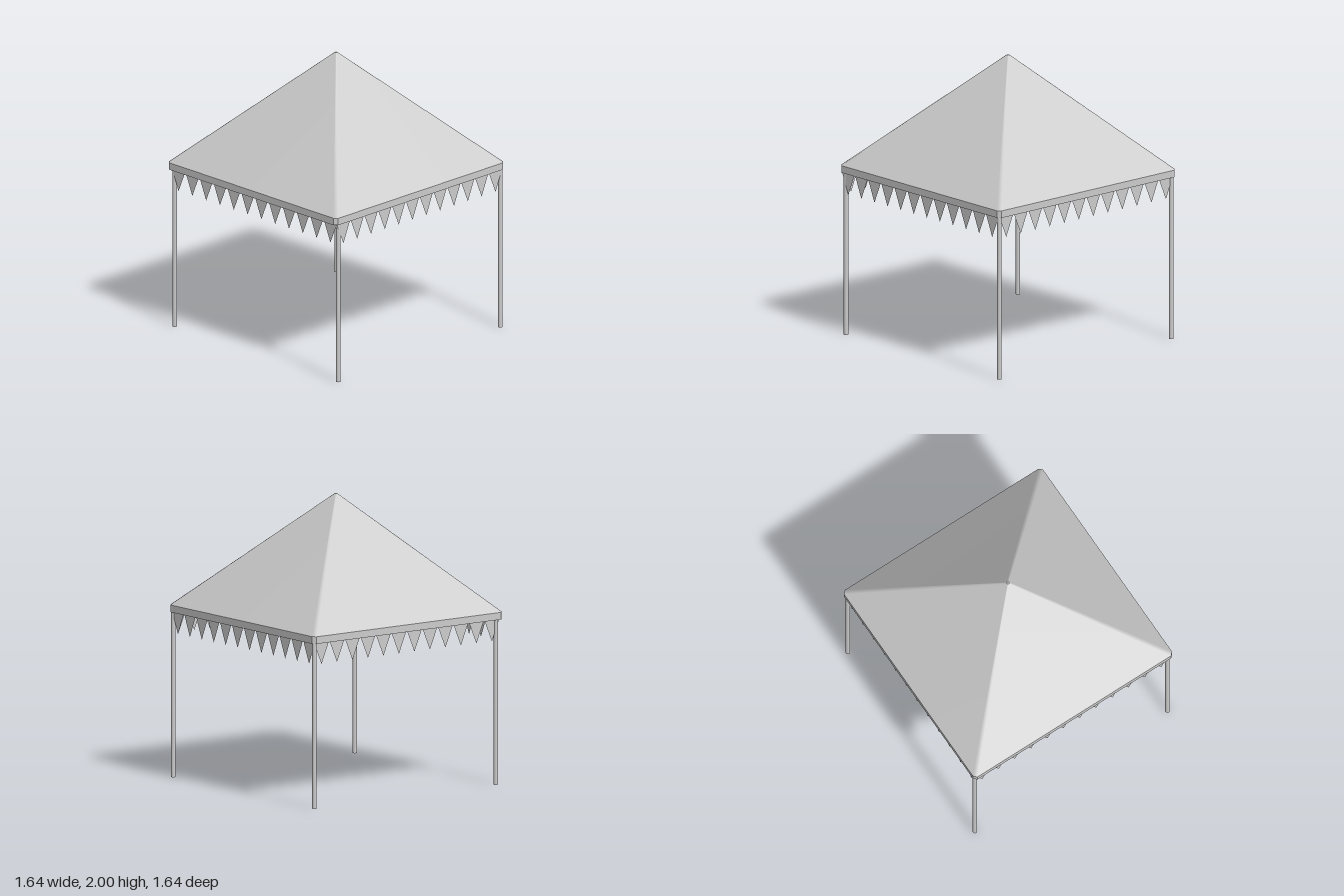
import * as THREE from 'three';

const HALF = 0.82, CUT = 0.022, EAVE = 1.2, HEM = 1.15;

// Square outline with clipped corners, counter-clockwise
function clippedSquare(h, c) {
  return [[h, -h + c], [h, h - c], [h - c, h], [-h + c, h],
    [-h, h - c], [-h, -h + c], [-h + c, -h], [h - c, -h]].map(([x, y]) => new THREE.Vector2(x, y));
}

// Smooth pyramid skin lofted from the eave to a tiny blunt tip
function roofGeometry() {
  const rings = [[HALF, CUT, EAVE], [0.008, 0.003, 2]];
  const positions = [], index = [];
  for (const [h, c, y] of rings)
    for (const p of clippedSquare(h, c)) positions.push(p.x, y, -p.y);
  for (let i = 0; i < 8; i++) {
    const j = (i + 1) % 8;
    index.push(i, j, 8 + j, i, 8 + j, 8 + i);
  }
  const geometry = new THREE.BufferGeometry();
  geometry.setAttribute('position', new THREE.Float32BufferAttribute(positions, 3));
  geometry.setIndex(index);
  geometry.computeVertexNormals();
  return geometry;
}

// Row of pointed flags hanging below the hem
function flagRowGeometry() {
  const count = 12, pitch = 0.134, half = 0.065, shapes = [];
  for (let i = 0; i < count; i++) {
    const x = (i - (count - 1) / 2) * pitch;
    shapes.push(new THREE.Shape([
      new THREE.Vector2(x - half, HEM + 0.005),
      new THREE.Vector2(x, 1.0),
      new THREE.Vector2(x + half, HEM + 0.005)]));
  }
  return new THREE.ShapeGeometry(shapes);
}

export function createModel() {
  const model = new THREE.Group();
  model.name = 'canopyTent';
  const grey = new THREE.MeshStandardMaterial({ color: 0xcccccc });
  const cloth = new THREE.MeshStandardMaterial({ color: 0xcccccc, side: THREE.DoubleSide });
  const add = (name, geometry, material) => {
    const mesh = new THREE.Mesh(geometry, material);
    mesh.name = name;
    model.add(mesh);
    return mesh;
  };

  // Pyramid roof, open underneath, with a small cap
  add('roof', roofGeometry(), cloth);
  const cap = add('roofTip', new THREE.ShapeGeometry(new THREE.Shape(clippedSquare(0.008, 0.003))), cloth);
  cap.rotation.x = -Math.PI / 2;
  cap.position.y = 2;

  // Band around the eave
  const bandShape = new THREE.Shape(clippedSquare(HALF, CUT));
  bandShape.holes.push(new THREE.Path(clippedSquare(0.785, 0.015).reverse()));
  const bandGeometry = new THREE.ExtrudeGeometry(bandShape, { depth: EAVE - HEM, bevelEnabled: false });
  bandGeometry.rotateX(-Math.PI / 2);
  add('eaveBand', bandGeometry, grey).position.y = HEM;

  // Flags on all four sides
  const flags = flagRowGeometry();
  const sides = [['frontFlags', 0, 0.81], ['leftFlags', 1, 0.8], ['backFlags', 2, 0.795], ['rightFlags', 3, 0.79]];
  for (const [name, turn, distance] of sides) {
    const row = add(name, flags, cloth);
    const angle = turn * Math.PI / 2;
    row.rotation.y = angle;
    row.position.set(Math.sin(angle) * distance, 0, Math.cos(angle) * distance);
  }

  // Round corner posts
  const postHeight = 1.18;
  const post = new THREE.CylinderGeometry(0.016, 0.016, postHeight, 16);
  for (const [xName, x] of [['Left', 0.795], ['Right', -0.775]])
    for (const [zName, z] of [['front', 0.797], ['back', -0.79]])
      add(zName + xName + 'Post', post, grey).position.set(x, postHeight / 2, z);

  return model;
}
